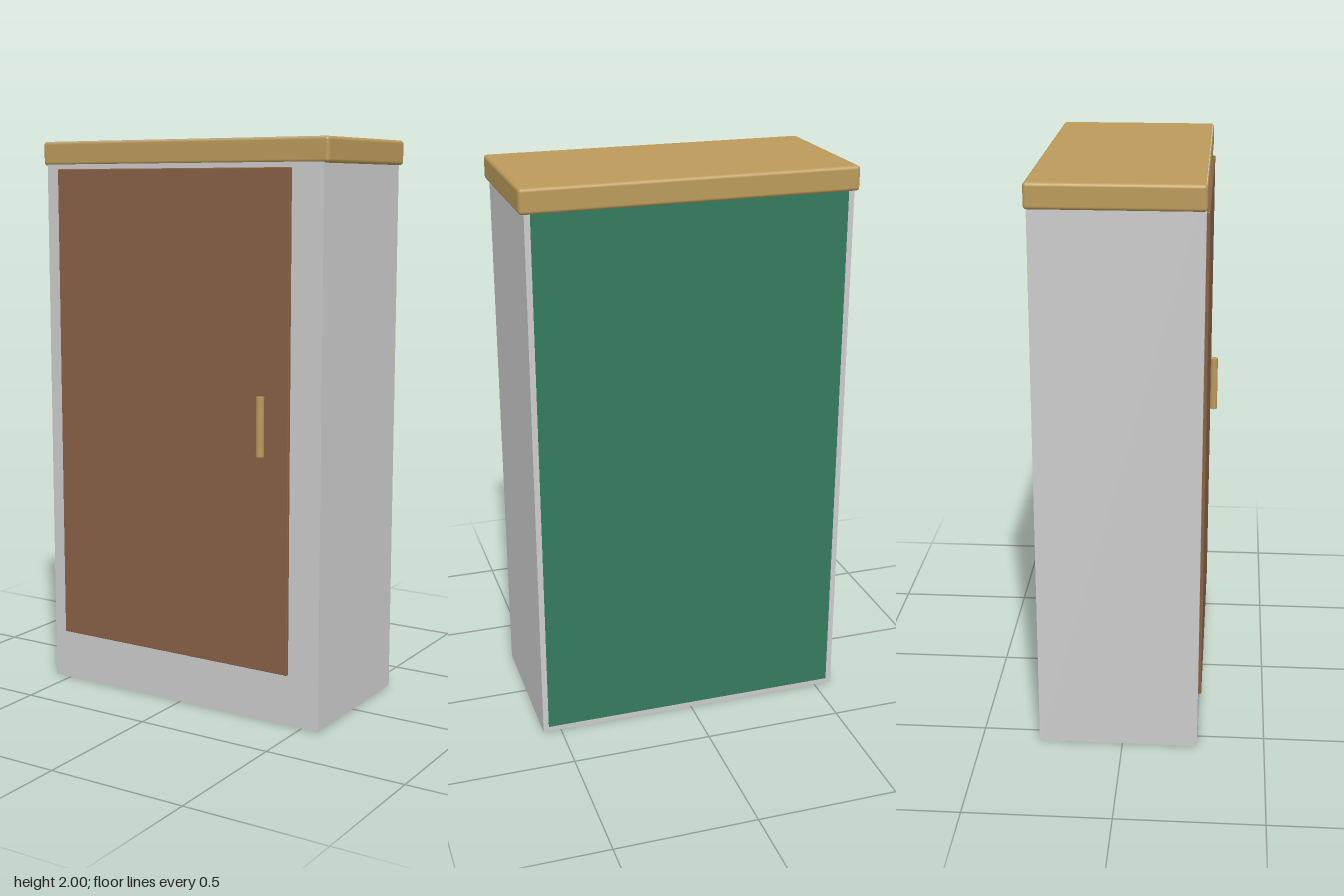
import * as THREE from 'three';
import { RoundedBoxGeometry } from 'three/addons/geometries/RoundedBoxGeometry.js';

const paint = (color) => new THREE.MeshStandardMaterial({ color });
const grey = paint(0xcccccc);
const wood = paint(0xbb9a5a);
const brown = paint(0x886145);
const green = paint(0x347b5d);

export function createModel() {
  const group = new THREE.Group();

  const add = (name, geometry, material, x, y, z) => {
    const mesh = new THREE.Mesh(geometry, material);
    mesh.name = name;
    mesh.position.set(x, y, z);
    group.add(mesh);
    return mesh;
  };

  // Box given by its lower and upper corners
  const addBox = (name, material, [x0, y0, z0], [x1, y1, z1], radius = 0) => {
    const size = [x1 - x0, y1 - y0, z1 - z0];
    const geometry = radius
      ? new RoundedBoxGeometry(...size, 3, radius)
      : new THREE.BoxGeometry(...size);
    return add(name, geometry, material, (x0 + x1) / 2, (y0 + y1) / 2, (z0 + z1) / 2);
  };

  // Cabinet body, running up into the lid
  addBox('body', grey, [-0.565, 0.001, -0.294], [0.565, 1.998, 0.264]);

  // Green panels framed by the body's edges, on the back and underneath
  addBox('backPanel', green, [-0.545, 0.02, -0.295], [0.545, 1.92, -0.285]);
  addBox('bottomPanel', green, [-0.545, 0, -0.275], [0.545, 0.01, 0.245]);

  // Overhanging lid with softened edges
  addBox('lid', wood, [-0.582, 1.915, -0.302], [0.582, 2, 0.267], 0.012);

  // Door, set slightly to one side
  addBox('door', brown, [-0.511, 0.182, 0.258], [0.447, 1.902, 0.275], 0.003);

  // Upright round handle
  add('handle', new THREE.CylinderGeometry(0.014, 0.014, 0.204, 16), wood, 0.345, 1.041, 0.288);

  return group;
}
